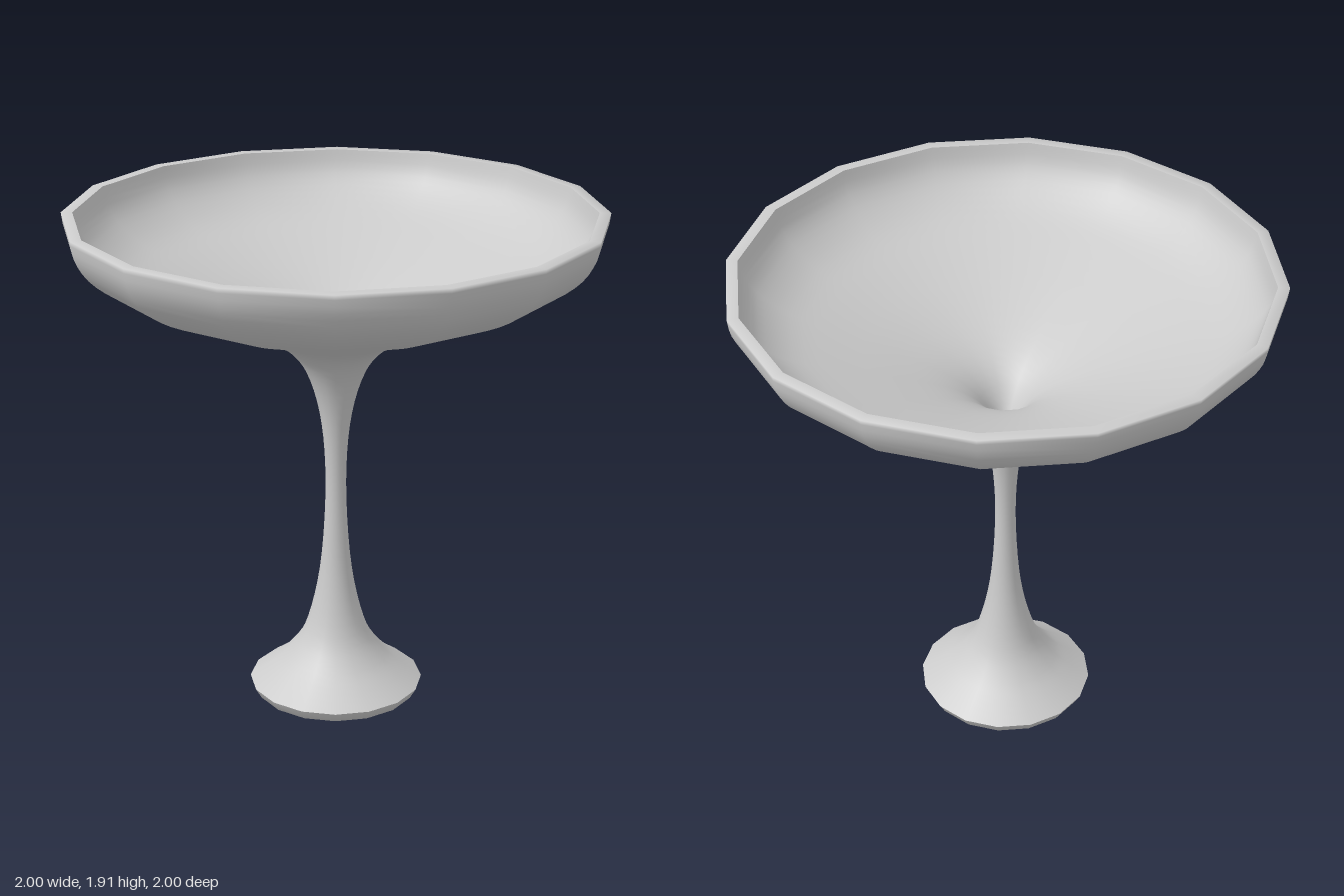
import * as THREE from 'three';

const SIDES = 16;
const TURN = -0.027; // slight twist of the sixteen-sided section

const toPoints = (pairs) => pairs.map(([r, y]) => new THREE.Vector2(r, y));

// Smooth a few (radius, height) pairs into a denser profile
function smoothProfile(pairs, steps) {
  return new THREE.SplineCurve(toPoints(pairs)).getPoints(steps)
    .map((p) => new THREE.Vector2(Math.max(p.x, 0), p.y));
}

function turned(name, points, material) {
  const mesh = new THREE.Mesh(new THREE.LatheGeometry(points, SIDES, TURN), material);
  mesh.name = name;
  return mesh;
}

export function createModel() {
  const group = new THREE.Group();
  group.name = 'goblet';
  const material = new THREE.MeshStandardMaterial({ color: 0xcccccc, side: THREE.DoubleSide });

  // Hollow underside of the foot
  const footHollow = smoothProfile([
    [0, 0.32], [0.05, 0.24], [0.11, 0.16], [0.19, 0.08], [0.285, 0],
  ], 12);

  // Narrow resting ring and bevelled lip of the foot
  const footRim = toPoints([[0.285, 0], [0.312, 0], [0.335, 0.04]]);

  // Flared foot, slender stem and wide bowl in one sweep, closed by the flat rim
  const outer = smoothProfile([
    [0.335, 0.04], [0.265, 0.09], [0.195, 0.15], [0.13, 0.24], [0.085, 0.38],
    [0.055, 0.56], [0.04, 0.8], [0.044, 1.0], [0.065, 1.16], [0.105, 1.29],
    [0.165, 1.385], [0.26, 1.45], [0.44, 1.525], [0.65, 1.6], [0.82, 1.675],
    [0.93, 1.755], [0.985, 1.84], [1.0, 1.915],
  ], 54);
  outer.push(new THREE.Vector2(0.958, 1.915));

  // Inside of the bowl, running down into the top of the stem
  const inside = smoothProfile([
    [0.958, 1.915], [0.935, 1.84], [0.88, 1.77], [0.78, 1.7], [0.62, 1.635],
    [0.42, 1.56], [0.24, 1.485], [0.13, 1.415], [0.06, 1.33], [0, 1.22],
  ], 30);

  group.add(
    turned('footHollow', footHollow, material),
    turned('footRim', footRim, material),
    turned('footStemAndBowl', outer, material),
    turned('bowlInside', inside, material),
  );
  return group;
}
